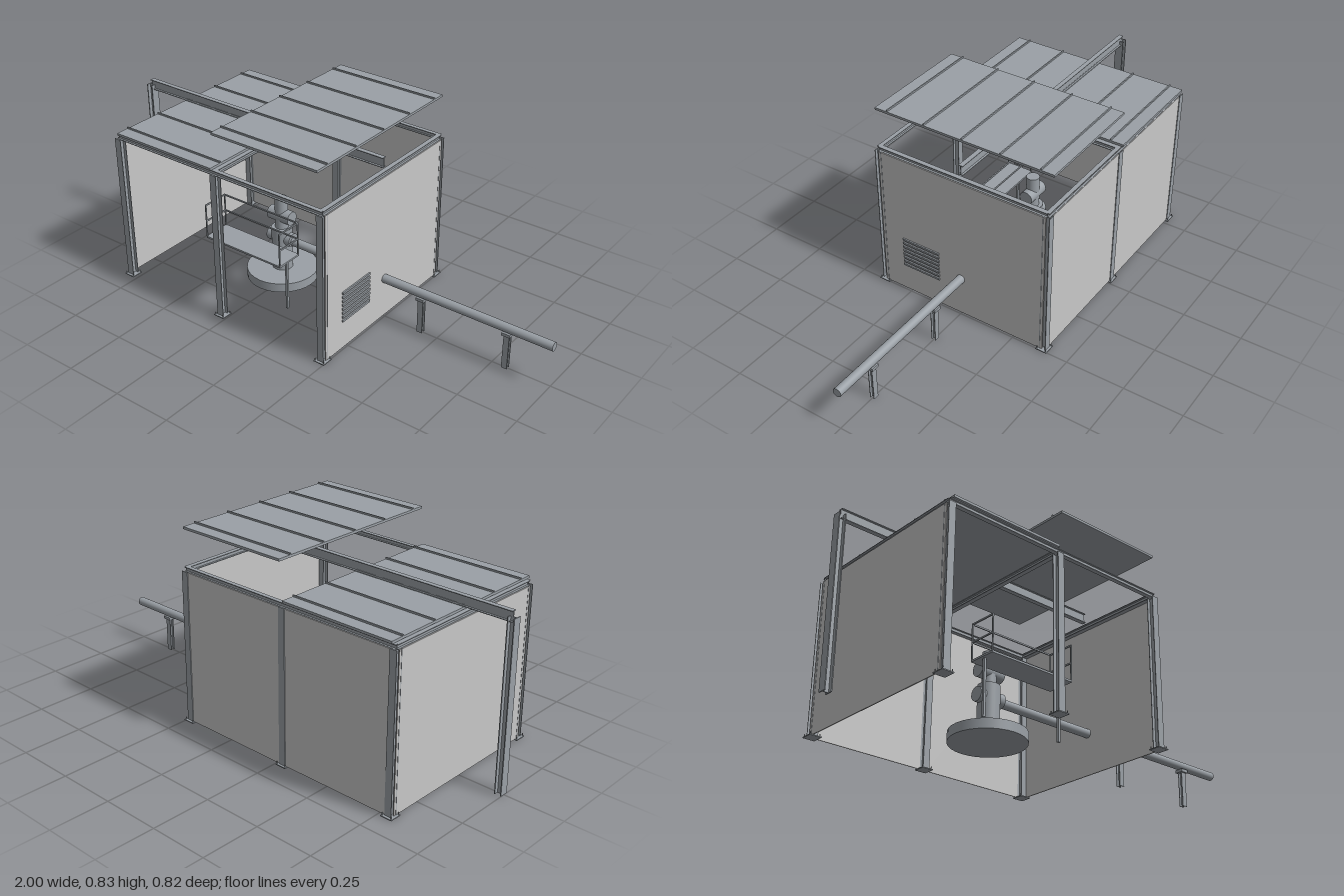
import * as THREE from 'three';

const steel = new THREE.MeshStandardMaterial({ color: 0x9aa0a6 });
steel.name = 'steel';
const sheet = new THREE.MeshStandardMaterial({ color: 0xc8c8c8 });
sheet.name = 'wall sheet';

export function createModel() {
  const root = new THREE.Group();

  function add(name, geo, x, y, z, mat = steel, parent = root) {
    const m = new THREE.Mesh(geo, mat);
    m.name = name;
    m.position.set(x, y, z);
    parent.add(m);
    return m;
  }
  // box given by its limits
  function box(name, x0, x1, y0, y1, z0, z1, mat, parent) {
    return add(name, new THREE.BoxGeometry(x1 - x0, y1 - y0, z1 - z0),
      (x0 + x1) / 2, (y0 + y1) / 2, (z0 + z1) / 2, mat, parent);
  }
  // centred I-section, w across the flanges and h between them, along an axis
  function beam(axis, len, w, h, t = 0.003) {
    const a = w / 2, b = h / 2, c = t / 2, d = b - t;
    const s = new THREE.Shape([
      [-a, -b], [a, -b], [a, -d], [c, -d], [c, d], [a, d],
      [a, b], [-a, b], [-a, d], [-c, d], [-c, -d], [-a, -d],
    ].map(p => new THREE.Vector2(...p)));
    const g = new THREE.ExtrudeGeometry(s, { depth: len, bevelEnabled: false });
    g.translate(0, 0, -len / 2);
    if (axis === 'x') g.rotateY(Math.PI / 2);
    if (axis === 'y') g.rotateX(-Math.PI / 2);
    return g;
  }
  function cylinder(name, r, len, x, y, z, axis = 'y') {
    const g = new THREE.CylinderGeometry(r, r, len, 32);
    if (axis === 'x') g.rotateZ(Math.PI / 2);
    return add(name, g, x, y, z);
  }

  // columns with base plates and anchor bolts
  const columnX = [-0.79, -0.28, 0.23];
  for (const x of columnX) for (const z of [-0.385, 0.385]) {
    const g = new THREE.Group();
    g.name = 'column';
    g.position.set(x, 0, z);
    root.add(g);
    add('columnShaft', beam('y', 0.64, 0.03, 0.03), 0, 0.323, 0, steel, g);
    box('basePlate', -0.025, 0.025, 0, 0.004, -0.025, 0.025, steel, g);
    for (const i of [-1, 1]) for (const k of [-1, 1])
      add('anchorBolt', new THREE.CylinderGeometry(0.002, 0.002, 0.012, 8), i * 0.02, 0.008, k * 0.02, steel, g);
  }

  // top frame
  for (const z of [-0.385, 0.385])
    add('eaveBeam', beam('x', 1.03, 0.018, 0.02), -0.28, 0.65, z);
  for (const x of columnX)
    add('crossBeam', beam('z', 0.77, 0.02, 0.02), x, 0.65, 0);

  // wall sheets: open front
  for (const x of [-0.802, 0.242])
    box('sideWall', x - 0.002, x + 0.002, 0.003, 0.641, -0.383, 0.383, sheet);
  for (const x of [-0.535, -0.025])
    box('backWall', x - 0.24, x + 0.24, 0.003, 0.641, -0.397, -0.393, sheet);

  // louvre slats on the side wall
  for (let i = 0; i < 8; i++) {
    const y = 0.1305 + i * 0.0181;
    box('louvreSlat', 0.243, 0.25, y - 0.0045, y + 0.0045, 0.104, 0.281);
  }

  // roof panels with ribs, one lifted clear
  for (const [x0, x1, y] of [[-0.785, -0.287, 0.662], [-0.275, 0.225, 0.816]]) {
    const g = new THREE.Group();
    g.name = 'roofPanel';
    root.add(g);
    box('roofSheet', x0, x1, y, y + 0.01, -0.402, 0.402, steel, g);
    for (let i = -2; i <= 2; i++)
      box('roofRib', x0, x1, y + 0.01, y + 0.017, i * 0.1725 - 0.0025, i * 0.1725 + 0.0025, steel, g);
  }

  // hoist rail and its outer post
  add('hoistRail', beam('x', 1.215, 0.02, 0.042), -0.377, 0.694, 0);
  add('hoistPost', beam('y', 0.692, 0.036, 0.03, 0.004).rotateY(Math.PI / 2).scale(1, 1, 1), -0.985, 0.346, 0);

  // outgoing pipe on stands
  cylinder('pipe', 0.0185, 1.24, 0.38, 0.18, 0, 'x');
  for (const x of [0.423, 0.807]) {
    box('standSaddle', x - 0.018, x + 0.018, 0.15, 0.163, -0.018, 0.018);
    add('standPost', beam('y', 0.15, 0.024, 0.02), x, 0.075, 0);
  }

  // wellhead: foundation, column, tee and valve
  const wx = -0.28;
  cylinder('foundation', 0.152, 0.04, wx, 0.023, 0);
  cylinder('wellColumn', 0.044, 0.19, wx, 0.138, 0);
  cylinder('outletTee', 0.03, 0.12, wx, 0.185, 0, 'x');
  cylinder('valveNeck', 0.028, 0.14, wx, 0.3, 0);
  cylinder('valveBody', 0.03, 0.11, wx, 0.288, 0, 'x');

  // service platform with legs and a railing
  const x0 = -0.475, x1 = -0.085, z0 = 0.13, z1 = 0.25;
  box('platformFloor', x0, x1, 0.226, 0.234, z0, z1);
  for (const x of [-0.46, -0.1])
    box('platformLeg', x - 0.005, x + 0.005, 0, 0.228, 0.185, 0.195);
  for (const y of [0.305, 0.378]) {
    box('backRail', x0, x1, y - 0.003, y + 0.003, z0, z0 + 0.005);
    for (const x of [x0, x1 - 0.005])
      box('endRail', x, x + 0.005, y - 0.003, y + 0.003, z0, z1);
  }
  for (const x of [x0, x1 - 0.005]) for (const z of [z0, z1 - 0.005])
    box('railPost', x, x + 0.005, 0.23, 0.381, z, z + 0.005);

  return root;
}
